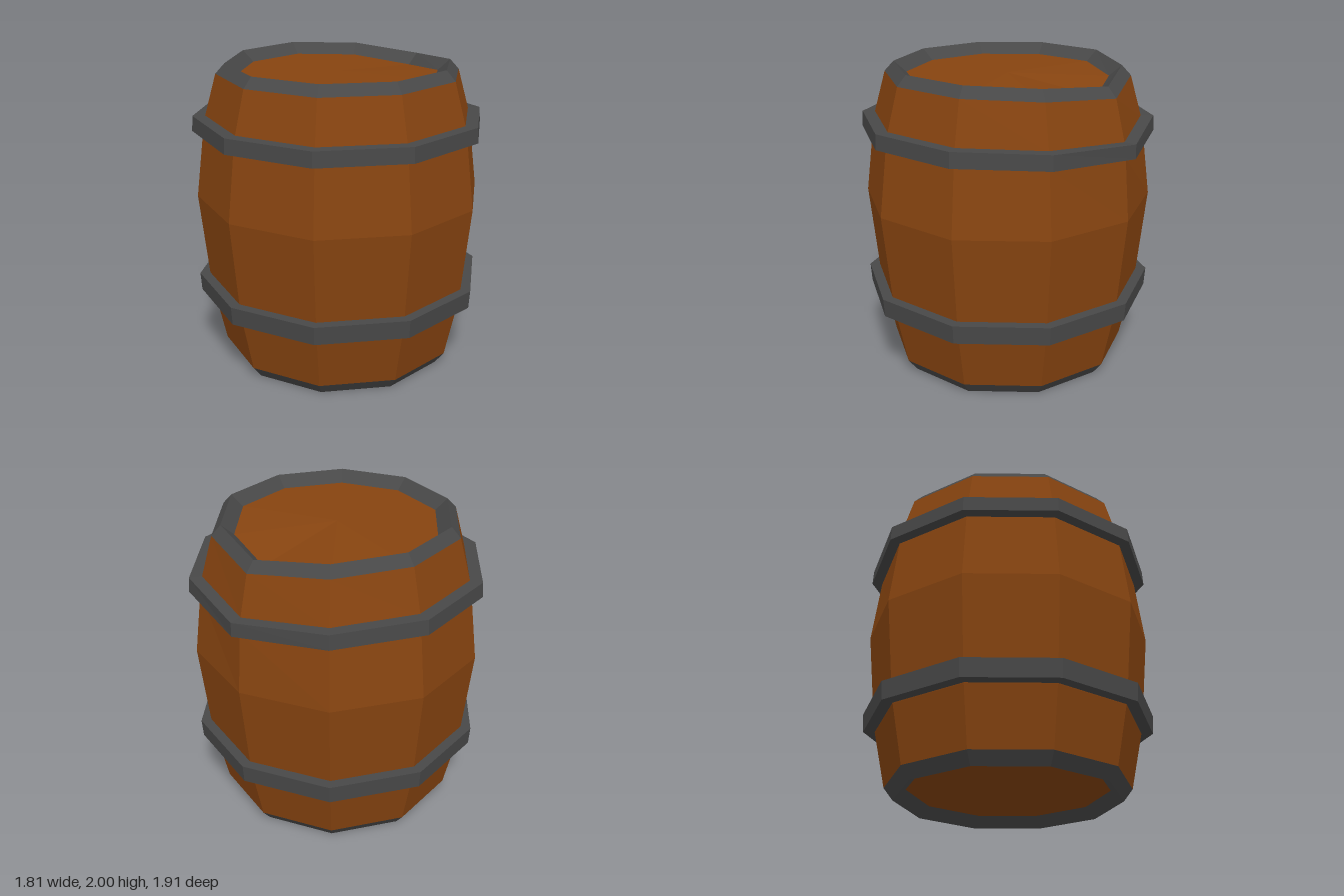
import * as THREE from 'three';

const SIDES = 10;

// Slightly sagging upper corner at the back left: lowers and pushes out one stave edge.
function sag(geometry) {
  const p = geometry.attributes.position;
  const corner = 0.8 * Math.PI;
  for (let i = 0; i < p.count; i++) {
    const x = p.getX(i), y = p.getY(i), z = p.getZ(i);
    const r = Math.hypot(x, z);
    if (r < 0.01) continue;
    let diff = Math.abs(Math.atan2(x, z) - corner);
    diff = Math.min(diff, 2 * Math.PI - diff);
    const weight = diff < 0.1 ? 1 : diff < 0.7 ? 0.3 : 0;
    const height = THREE.MathUtils.clamp((y - 1.13) / 0.7, 0, 1);
    const push = weight === 1 ? 1 + (0.03 * height) / r : 1;
    p.setXYZ(i, x * push, y - 0.055 * weight * height, z * push);
  }
}

// Ten-sided faceted ring from a profile of [radius, height], listed bottom to top.
function ring(name, profile, material) {
  const points = profile.map(([r, y]) => new THREE.Vector2(r, y));
  const geometry = new THREE.LatheGeometry(points, SIDES).toNonIndexed();
  sag(geometry);
  geometry.computeVertexNormals();
  const mesh = new THREE.Mesh(geometry, material);
  mesh.name = name;
  return mesh;
}

export function createModel() {
  const wood = new THREE.MeshStandardMaterial({ color: 0x874410 });
  wood.name = 'brown wood';
  const iron = new THREE.MeshStandardMaterial({ color: 0x484848 });
  iron.name = 'dark iron';
  wood.flatShading = iron.flatShading = true;

  const barrel = new THREE.Group();
  barrel.name = 'barrel';

  barrel.add(
    // Bulging staves
    ring('staves', [[0.79, 0.08], [0.868, 0.45], [0.885, 0.57], [0.94, 1.13],
      [0.885, 1.56], [0.868, 1.66], [0.79, 1.935]], wood),
    // Recessed ends
    ring('bottomLid', [[0, 0.07], [0.65, 0.07]], wood),
    ring('topLid', [[0.65, 1.93], [0, 1.93]], wood),
    // Bevelled end rims
    ring('bottomRim', [[0.65, 0.07], [0.73, 0], [0.79, 0.08]], iron),
    ring('topRim', [[0.79, 1.935], [0.73, 2], [0.65, 1.93]], iron),
    // Hoops around the body
    ring('lowerHoop', [[0.86, 0.455], [0.945, 0.455], [0.953, 0.575], [0.88, 0.575]], iron),
    ring('upperHoop', [[0.88, 1.565], [0.953, 1.57], [0.947, 1.668], [0.86, 1.668]], iron),
  );
  return barrel;
}
